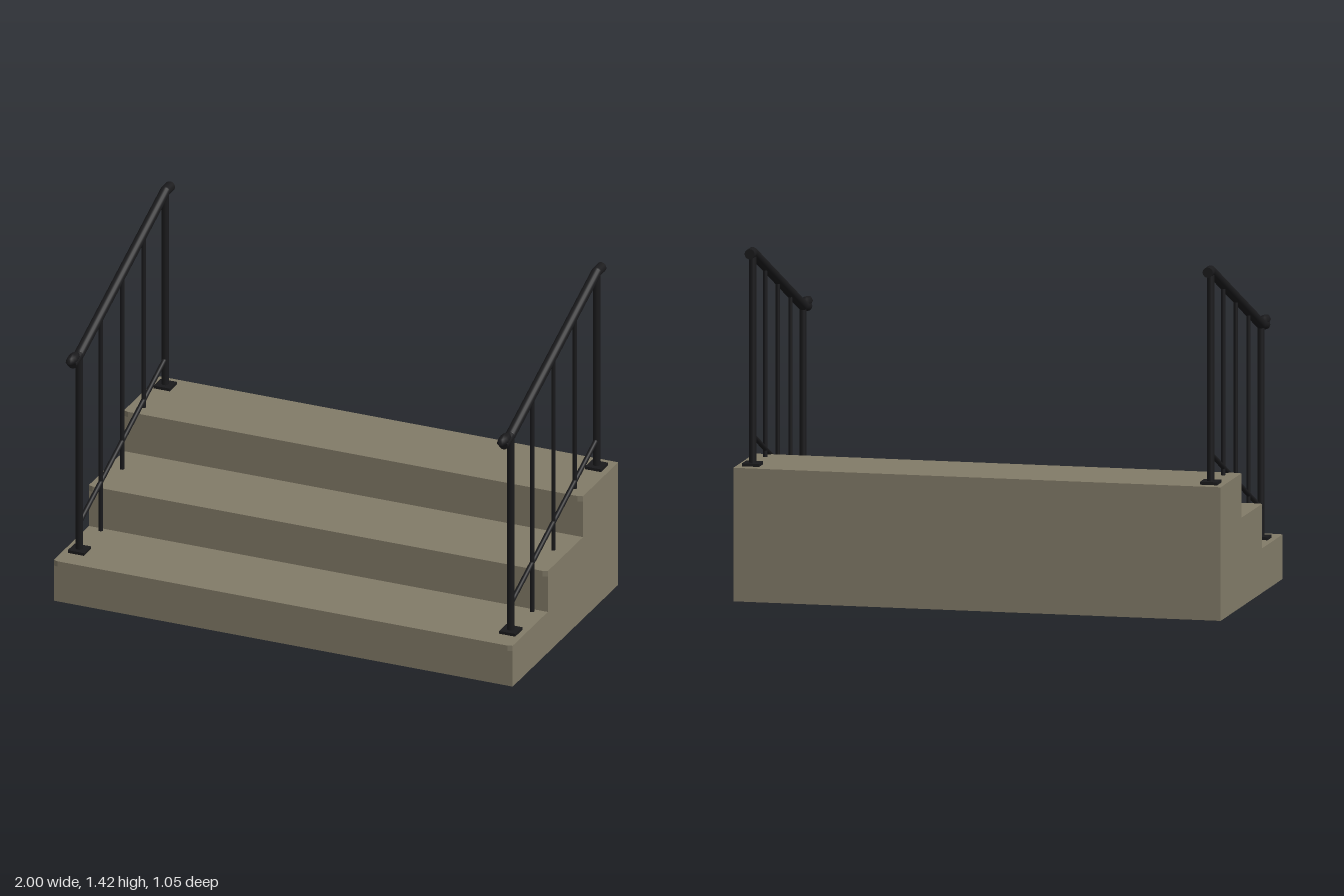
import * as THREE from 'three';

const stone = new THREE.MeshStandardMaterial({ color: 0x827b68 });
stone.name = 'stone';
const iron = new THREE.MeshStandardMaterial({ color: 0x1a1a1c });
iron.name = 'blackIron';

const RISE = 0.18, BACK = -0.525;
const FRONTS = [0.519, 0.172, -0.176];

function add(parent, name, geometry, material, x = 0, y = 0, z = 0) {
  const mesh = new THREE.Mesh(geometry, material);
  mesh.name = name;
  mesh.position.set(x, y, z);
  parent.add(mesh);
  return mesh;
}

// Round bar between two [z, y] points in the railing plane
function bar(parent, name, a, b, radius, sides = 12) {
  const from = new THREE.Vector3(0, a[1], a[0]);
  const dir = new THREE.Vector3(0, b[1], b[0]).sub(from);
  const mesh = add(parent, name, new THREE.CylinderGeometry(radius, radius, dir.length(), sides), iron);
  mesh.position.copy(from).addScaledVector(dir, 0.5);
  mesh.quaternion.setFromUnitVectors(new THREE.Vector3(0, 1, 0), dir.normalize());
  return mesh;
}

function buildSteps() {
  const group = new THREE.Group();
  group.name = 'steps';
  // Stepped side profile, extruded across the width
  const profile = new THREE.Shape();
  profile.moveTo(BACK, 0);
  FRONTS.forEach((z, i) => {
    profile.lineTo(z, i * RISE);
    profile.lineTo(z, (i + 1) * RISE);
  });
  profile.lineTo(BACK, FRONTS.length * RISE);
  const body = new THREE.ExtrudeGeometry(profile, { depth: 2, bevelEnabled: false });
  body.translate(0, 0, -1).rotateY(-Math.PI / 2);
  add(group, 'stepBody', body, stone);

  // Thin projecting lip with clipped corners on each tread
  FRONTS.forEach((z, i) => {
    const lip = new THREE.Shape();
    lip.moveTo(-1, 0);
    lip.lineTo(-0.98, -0.007);
    lip.lineTo(0.98, -0.007);
    lip.lineTo(1, 0);
    const geometry = new THREE.ExtrudeGeometry(lip, { depth: 0.024, bevelEnabled: false });
    geometry.rotateX(-Math.PI / 2);
    add(group, 'treadNosing', geometry, stone, 0, (i + 1) * RISE - 0.024, z);
  });
  return group;
}

function buildRailing(x) {
  const group = new THREE.Group();
  group.name = x > 0 ? 'leftRailing' : 'rightRailing';
  group.position.x = x;
  const low = [0.402, 1.048], high = [-0.447, 1.401];
  const railY = (z) => low[1] + (high[1] - low[1]) * (low[0] - z) / (low[0] - high[0]);

  // Posts with square base plates
  for (const [z, y] of [[low[0], RISE], [high[0], 3 * RISE]]) {
    add(group, 'basePlate', new THREE.BoxGeometry(0.07, 0.012, 0.07), iron, 0, y + 0.006, z);
    bar(group, 'post', [z, y], [z, railY(z)], 0.015);
  }
  // Balusters, one standing on each tread
  [0.191, -0.021, -0.233].forEach((z, i) => {
    bar(group, 'baluster', [z, (i + 1) * RISE], [z, railY(z)], 0.009);
  });
  bar(group, 'lowerRail', [low[0], 0.304], [high[0], 0.662], 0.01);

  // Handrail with a level upper end
  bar(group, 'handrail', low, high, 0.021, 16);
  bar(group, 'handrailUpperEnd', high, [-0.497, 1.401], 0.021, 16);
  add(group, 'handrailUpperJoint', new THREE.SphereGeometry(0.021, 16, 10), iron, 0, high[1], high[0]);
  add(group, 'handrailLowerJoint', new THREE.SphereGeometry(0.021, 16, 10), iron, 0, low[1], low[0]);

  // Curled lower end finishing in a flattened tip
  bar(group, 'handrailLowerEnd', low, [0.477, 1.034], 0.02, 16);
  const tip = add(group, 'handrailTip', new THREE.SphereGeometry(1, 12, 4), iron, 0, 1.054, 0.466);
  tip.scale.set(0.021, 0.022, 0.055);
  return group;
}

export function createModel() {
  const model = new THREE.Group();
  model.name = 'stepsWithRailings';
  model.add(buildSteps(), buildRailing(0.94), buildRailing(-0.94));
  return model;
}
